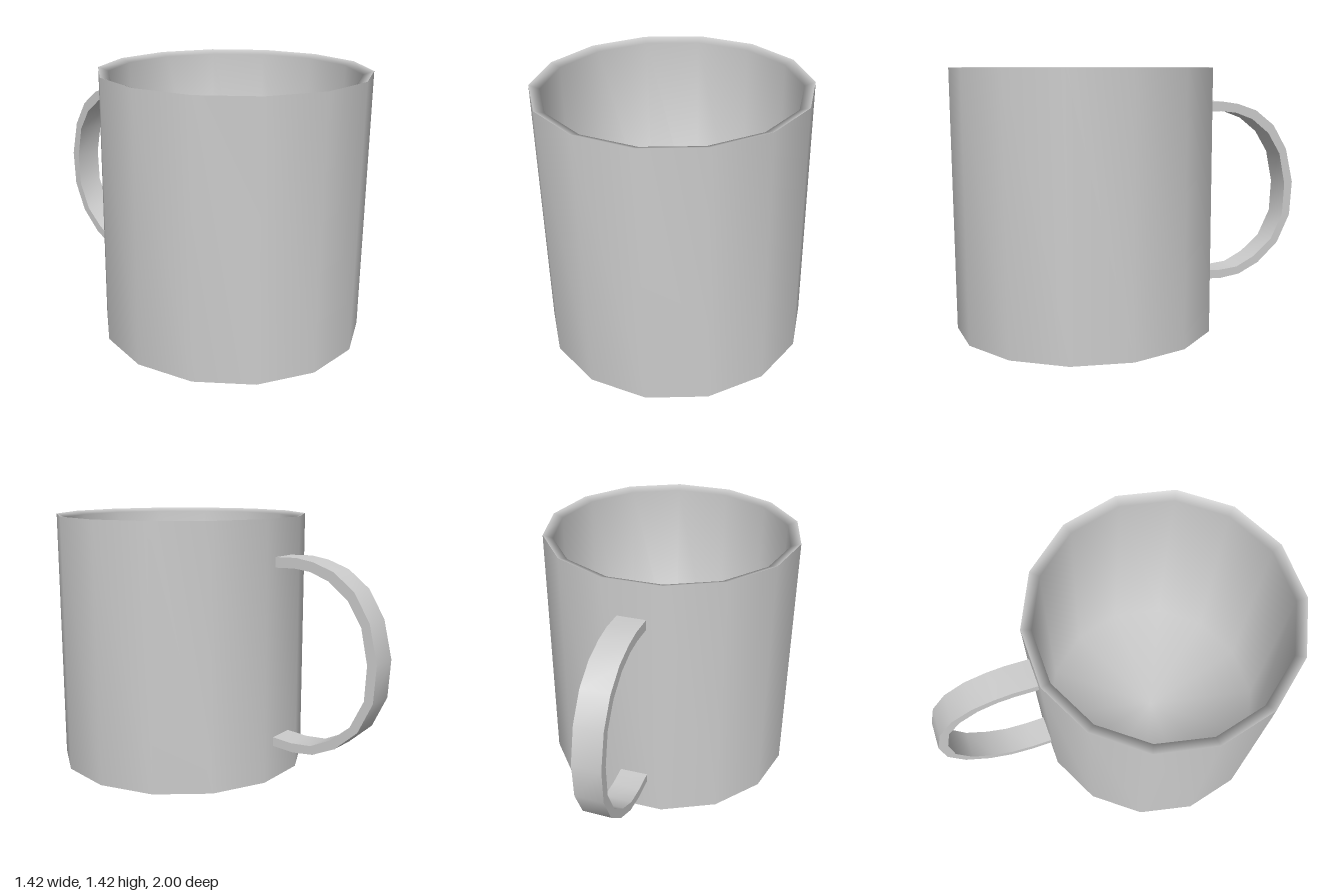
import * as THREE from 'three';
import { toCreasedNormals } from 'three/addons/utils/BufferGeometryUtils.js';

const SIDES = 14;
const RADIUS = 0.71, INNER = 0.656, HEIGHT = 1.42, FLOOR = 0.05;
const CUP_Z = 0.302;
const TURN = THREE.MathUtils.degToRad(91.8);

const material = new THREE.MeshStandardMaterial({ color: 0xcccccc });

const points = (list) => list.map(([a, b]) => new THREE.Vector2(a, b));

// 14-sided lathe, turned so the facets line up with the handle
const lathe = (profile) => new THREE.LatheGeometry(points(profile), SIDES, TURN);

function part(name, geometry) {
  const mesh = new THREE.Mesh(geometry, material);
  mesh.name = name;
  return mesh;
}

// Handle side outline as (distance backwards, height)
function handleGeometry(xMin, xMax) {
  const outer = [
    [0.37, 1.22], [0.52, 1.225], [0.62, 1.21], [0.74, 1.17], [0.86, 1.08], [0.95, 0.935], [0.998, 0.735],
    [0.985, 0.535], [0.905, 0.37], [0.775, 0.255], [0.645, 0.195], [0.52, 0.18], [0.37, 0.19],
  ];
  const inner = [
    [0.37, 1.165], [0.51, 1.17], [0.605, 1.16], [0.715, 1.12], [0.825, 1.035], [0.905, 0.91], [0.945, 0.725],
    [0.935, 0.54], [0.86, 0.39], [0.745, 0.295], [0.63, 0.24], [0.51, 0.23], [0.37, 0.24],
  ];
  const shape = new THREE.Shape(points([...outer, ...inner.reverse()]));
  const geometry = new THREE.ExtrudeGeometry(shape, { depth: xMax - xMin, bevelEnabled: false });
  geometry.rotateY(Math.PI / 2); // outline now runs towards -z, depth along +x
  geometry.translate(xMin, 0, 0);
  return toCreasedNormals(geometry, THREE.MathUtils.degToRad(40));
}

export function createModel() {
  const model = new THREE.Group();
  model.name = 'mug';

  // Outer wall and flat base, sharp at the bottom edge
  const shell = part('outerWall', toCreasedNormals(
    lathe([[0, 0], [RADIUS, 0], [RADIUS, HEIGHT]]),
    THREE.MathUtils.degToRad(40),
  ));
  shell.position.z = CUP_Z;

  // Inward-sloping rim, inner wall and floor, smoothly shaded
  const lining = part('rimAndInterior', lathe([
    [RADIUS, HEIGHT], [INNER, HEIGHT - 0.02], [INNER, FLOOR], [0, FLOOR],
  ]));
  lining.position.z = CUP_Z;

  model.add(shell, lining, part('handle', handleGeometry(-0.097, 0.057)));
  return model;
}
